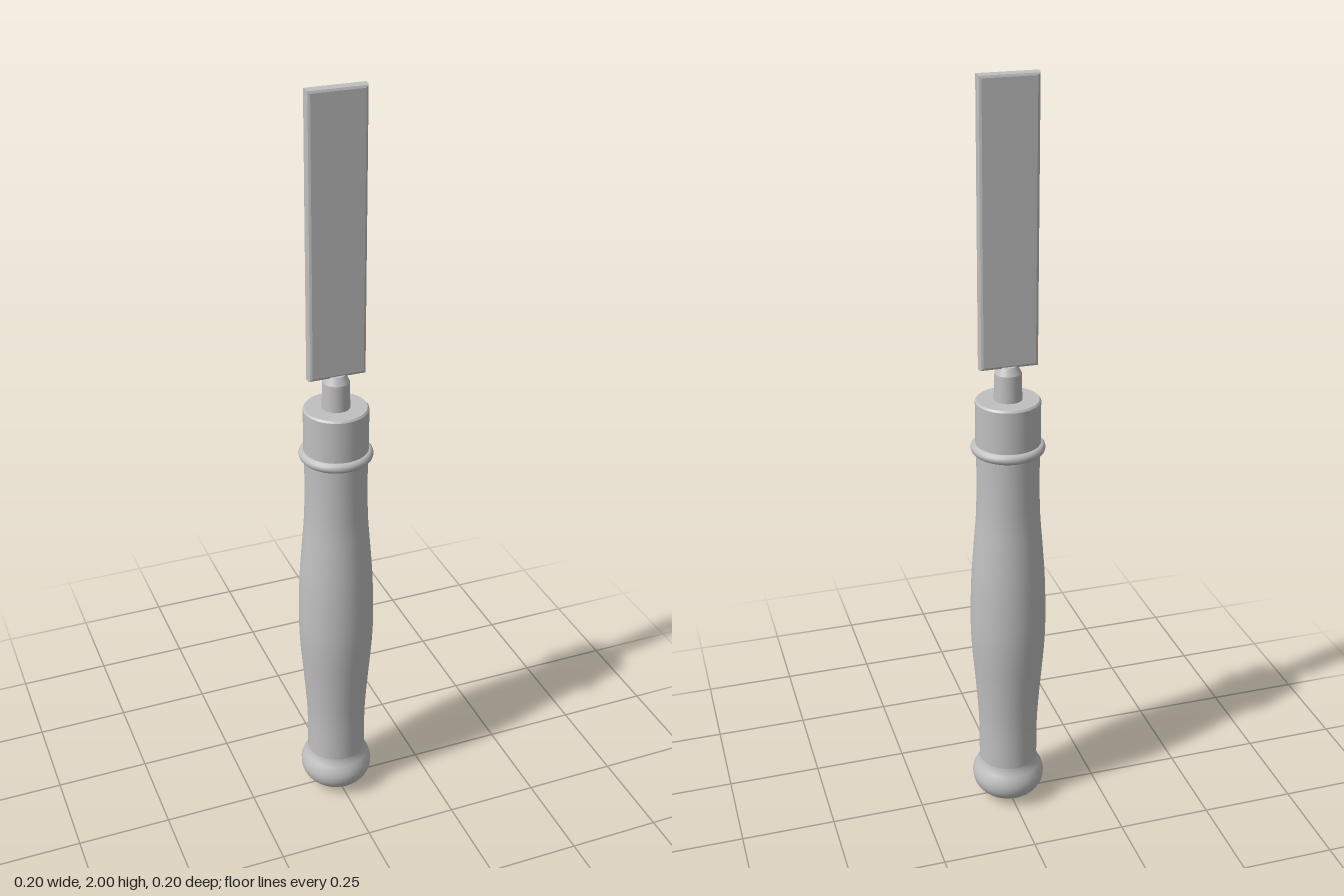
import * as THREE from 'three';

export function createModel() {
  const model = new THREE.Group();
  model.name = 'chisel';
  const grey = new THREE.MeshStandardMaterial({ color: 0xc0c0c0 });
  grey.name = 'plain grey';

  const add = (name, geometry) => {
    const mesh = new THREE.Mesh(geometry, grey);
    mesh.name = name;
    model.add(mesh);
    return mesh;
  };
  // Turned part from [radius, height] pairs, bottom to top
  const turned = (name, points) =>
    add(name, new THREE.LatheGeometry(points.map(([r, y]) => new THREE.Vector2(r, y)), 48));

  // Wooden grip: slim at both ends, swelling in the middle
  const grip = new THREE.SplineCurve([
    [0.079, 0.12], [0.08, 0.25], [0.088, 0.37], [0.097, 0.48], [0.1, 0.57],
    [0.097, 0.69], [0.09, 0.79], [0.083, 0.88], [0.081, 0.97], [0.081, 1.07],
  ].map(([r, y]) => new THREE.Vector2(r, y)));
  turned('grip', grip.getPoints(40).map((p) => [p.x, p.y]));

  // Rounded pommel: flattened dome below, curled shoulder above
  const pommel = [];
  for (let i = 0; i <= 12; i++) {
    const a = (i / 12) * Math.PI / 2;
    pommel.push([0.098 * Math.sin(a), 0.068 - 0.068 * Math.cos(a)]);
  }
  pommel.push([0.098, 0.078], [0.094, 0.093], [0.087, 0.106], [0.081, 0.116], [0.079, 0.128]);
  turned('pommel', pommel);

  // Bead where the ferrule meets the grip
  const bead = add('bead', new THREE.TorusGeometry(0.081, 0.014, 12, 48));
  bead.rotation.x = Math.PI / 2;
  bead.position.y = 1.07;

  // Metal ferrule with a softened top rim
  turned('ferruleSide', [[0.083, 1.07], [0.083, 1.195]]);
  turned('ferruleRim', [[0.083, 1.195], [0.079, 1.2]]);
  turned('ferruleTop', [[0.079, 1.2], [0, 1.2]]);

  // Shank between ferrule and blade
  turned('shank', [[0.036, 1.195], [0.034, 1.27]]);
  turned('shankShoulder', [[0.034, 1.27], [0.024, 1.29]]);
  turned('shankTop', [[0.024, 1.29], [0, 1.29]]);

  // Flat blade with chamfered edges all round
  const bevel = 0.008;
  const [halfWidth, bottom, top] = [0.075 - bevel, 1.285 + bevel, 2 - bevel];
  const outline = new THREE.Shape();
  outline.moveTo(-halfWidth, bottom);
  outline.lineTo(halfWidth, bottom);
  outline.lineTo(halfWidth, top);
  outline.lineTo(-halfWidth, top);
  outline.closePath();
  const blade = new THREE.ExtrudeGeometry(outline, {
    depth: 0.016, bevelEnabled: true, bevelSize: bevel, bevelThickness: bevel, bevelSegments: 2,
  });
  blade.translate(0, 0, -0.008);
  add('blade', blade);

  return model;
}
